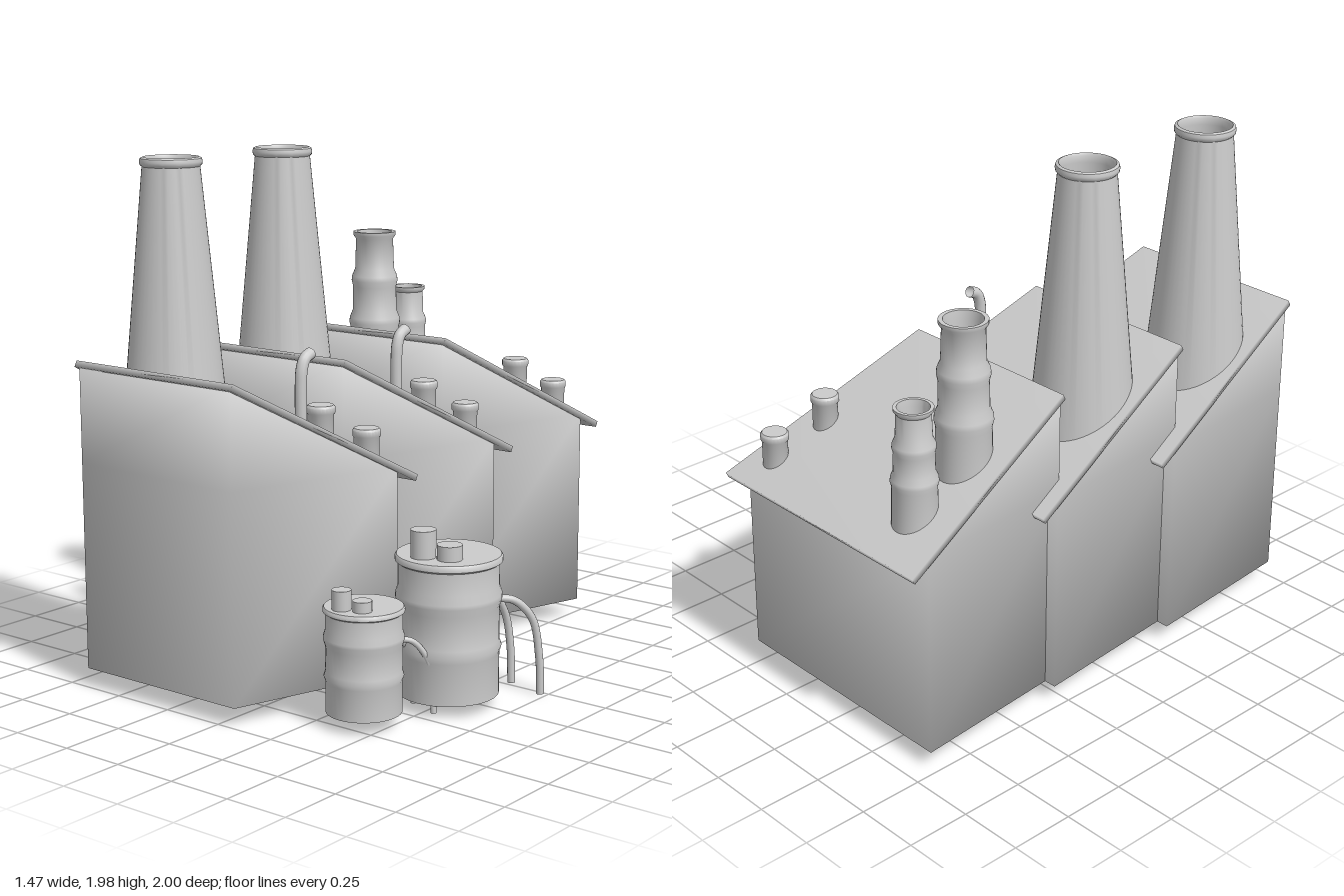
import * as THREE from 'three';
import { mergeVertices, toCreasedNormals } from 'three/addons/utils/BufferGeometryUtils.js';

const mat = new THREE.MeshStandardMaterial({ color: 0xcccccc });
const openMat = new THREE.MeshStandardMaterial({ color: 0xcccccc, side: THREE.DoubleSide });

function add(parent, name, geometry, x = 0, y = 0, z = 0, material = mat) {
  const mesh = new THREE.Mesh(geometry, material);
  mesh.name = name;
  mesh.position.set(x, y, z);
  parent.add(mesh);
  return mesh;
}

// Closed block lofted through rings of four corners, softly shaded.
function loft(rings) {
  const index = [0, 2, 1, 0, 3, 2];
  for (let r = 0; r < rings.length - 1; r++) {
    for (let i = 0; i < 4; i++) {
      const a = r * 4 + i, b = r * 4 + (i + 1) % 4;
      index.push(a, b, b + 4, a, b + 4, a + 4);
    }
  }
  const t = (rings.length - 1) * 4;
  index.push(t, t + 1, t + 2, t, t + 2, t + 3);
  let g = new THREE.BufferGeometry();
  g.setAttribute('position', new THREE.Float32BufferAttribute(rings.flat(2), 3));
  g.setIndex(index);
  g = mergeVertices(g);
  g.computeVertexNormals();
  return g;
}

// Trapezoid ring, narrow at the front and wide at the back.
const ring = (fx, bx, fy, by, fz, bz) => [
  [fx[0], fy, fz], [fx[1], fy, fz], [bx[1], by, bz], [bx[0], by, bz],
];

function lathe(points, sides = 40) {
  const g = new THREE.LatheGeometry(points.map(([r, y]) => new THREE.Vector2(r, y)), sides);
  return toCreasedNormals(g, 0.7);
}

function pipe(points, radius) {
  const curve = new THREE.CatmullRomCurve3(points.map((p) => new THREE.Vector3(...p)), false, 'centripetal');
  const g = new THREE.TubeGeometry(curve, 32, radius, 12);
  return g;
}

// Roof vent with a wider cap.
function vent(r, h) {
  return lathe([[0, 0], [r * 0.9, 0], [r * 0.9, h - 0.035], [r, h - 0.028],
    [r, h - 0.008], [r * 0.88, h], [0, h]], 24);
}

function hall() {
  const g = new THREE.Group();
  const fx = [-0.67, 0.07], bx = [-0.725, 0.28];
  add(g, 'hallWalls', loft([
    ring(fx, bx, 0.075, 0.075, 0.99, 0.315),
    ring(fx, bx, 0.865, 0.865, 0.99, 0.315),
    ring(fx, bx, 1.235, 0.865, 0.99, 0.315),
  ]));
  const rf = [-0.685, 0.085], rb = [-0.738, 0.31];
  add(g, 'slopedRoof', loft([
    ring(rf, rb, 1.228, 0.803, 1.0, 0.242),
    ring(rf, rb, 1.25, 0.825, 0.988, 0.23),
  ]));
  add(g, 'roofVent', vent(0.053, 0.2), 0.115, 0.915, 0.553);
  add(g, 'roofVent', vent(0.053, 0.2), 0.17, 0.805, 0.358);
  return g;
}

function drum(name, r, h) {
  const b = r * 0.94;
  return [name, lathe([[0, 0], [b, 0], [b, h * 0.3], [r * 0.98, h * 0.345], [b, h * 0.39],
    [b, h * 0.63], [r * 0.99, h * 0.69], [r * 0.99, h * 0.72], [b, h * 0.78],
    [b, h * 0.94], [r, h * 0.955], [r, h * 0.985], [r * 0.97, h], [0, h]])];
}

export function createModel() {
  const model = new THREE.Group();
  model.name = 'factory';

  // Three saw-tooth halls
  for (let i = 0; i < 3; i++) {
    const h = hall();
    h.name = 'hall' + (i + 1);
    h.position.z = -0.615 * i;
    model.add(h);
  }

  // Tall chimneys and curved exhausts on the first two halls
  const chimney = lathe([[0.207, 0.9], [0.107, 1.95], [0.114, 1.957], [0.116, 1.968],
    [0.113, 1.98], [0.103, 1.985], [0.098, 1.975], [0.098, 1.95], [0.195, 0.9]], 48);
  for (let i = 0; i < 2; i++) {
    const z = -0.62 * i;
    add(model, 'tallChimney', chimney, -0.48, 0, 0.685 + z, openMat);
    add(model, 'curvedExhaust', pipe([[0, 1.0, 0.668], [0, 1.2, 0.668], [0, 1.26, 0.662],
      [0, 1.295, 0.645], [0, 1.312, 0.61]], 0.022), i ? 0.095 : 0.115, i * 0.01, (i ? 0.036 : 0) + z - (i ? 0.0 : 0.005), openMat);
  }

  // Ribbed stacks on the rear hall
  const stackProfile = [[0.104, 0.96], [0.1, 1.19], [0.106, 1.215], [0.104, 1.235], [0.092, 1.265],
    [0.09, 1.365], [0.096, 1.39], [0.094, 1.41], [0.081, 1.44], [0.077, 1.565], [0.088, 1.58],
    [0.088, 1.595], [0.072, 1.595], [0.068, 1.56], [0.075, 1.2], [0.085, 0.96]];
  const stacks = [[-0.535, -0.578, 1, 1], [-0.537, -0.81, 0.81, 0.74]];
  for (const [x, z, w, s] of stacks) {
    const top = w === 1 ? 1.595 : 1.34;
    const pts = stackProfile.map(([r, y]) => [r * w, top + (y - 1.595) * s]);
    add(model, 'ribbedStack', lathe(pts), x, 0, z, openMat);
  }

  // Downpipe behind the middle hall
  add(model, 'downpipe', pipe([[0.17, 0.83, -0.32], [0.17, 0.6, -0.32], [0.17, 0.38, -0.32],
    [0.17, 0.33, -0.335], [0.17, 0.29, -0.375], [0.17, 0.24, -0.395], [0.17, 0.06, -0.395]], 0.02), 0, 0, 0, openMat);

  // Storage tanks with their lid stubs
  add(model, ...drum('largeTank', 0.198, 0.525), 0.51, 0.052, 0.305);
  add(model, ...drum('smallTank', 0.147, 0.39), 0.407, 0.055, 0.672);
  const stubs = [[0.472, 0.41, 0.047, 0.56, 0.68], [0.567, 0.378, 0.047, 0.56, 0.632],
    [0.375, 0.757, 0.035, 0.43, 0.517], [0.447, 0.73, 0.035, 0.43, 0.484]];
  for (const [x, z, r, y0, y1] of stubs) {
    add(model, 'tankStub', new THREE.CylinderGeometry(r, r, y1 - y0, 24), x, (y0 + y1) / 2, z);
  }

  // Drain hoses curving down behind the tanks
  const hoses = [
    [0.015, [0.53, 0.39, 0.14], [0.54, 0.375, 0.07], [0.55, 0.28, 0.0], [0.557, 0.15, -0.025], [0.56, 0.005, -0.03]],
    [0.015, [0.615, 0.39, 0.155], [0.66, 0.375, 0.1], [0.7, 0.3, 0.042], [0.717, 0.15, 0.018], [0.72, 0.005, 0.012]],
    [0.011, [0.425, 0.31, 0.56], [0.432, 0.295, 0.51], [0.44, 0.22, 0.45], [0.443, 0.12, 0.433], [0.445, 0.025, 0.43]],
    [0.011, [0.485, 0.31, 0.565], [0.515, 0.295, 0.525], [0.548, 0.22, 0.48], [0.558, 0.12, 0.465], [0.56, 0.02, 0.462]],
  ];
  for (const [r, ...pts] of hoses) add(model, 'drainHose', pipe(pts, r), 0, 0, 0, openMat);

  return model;
}
